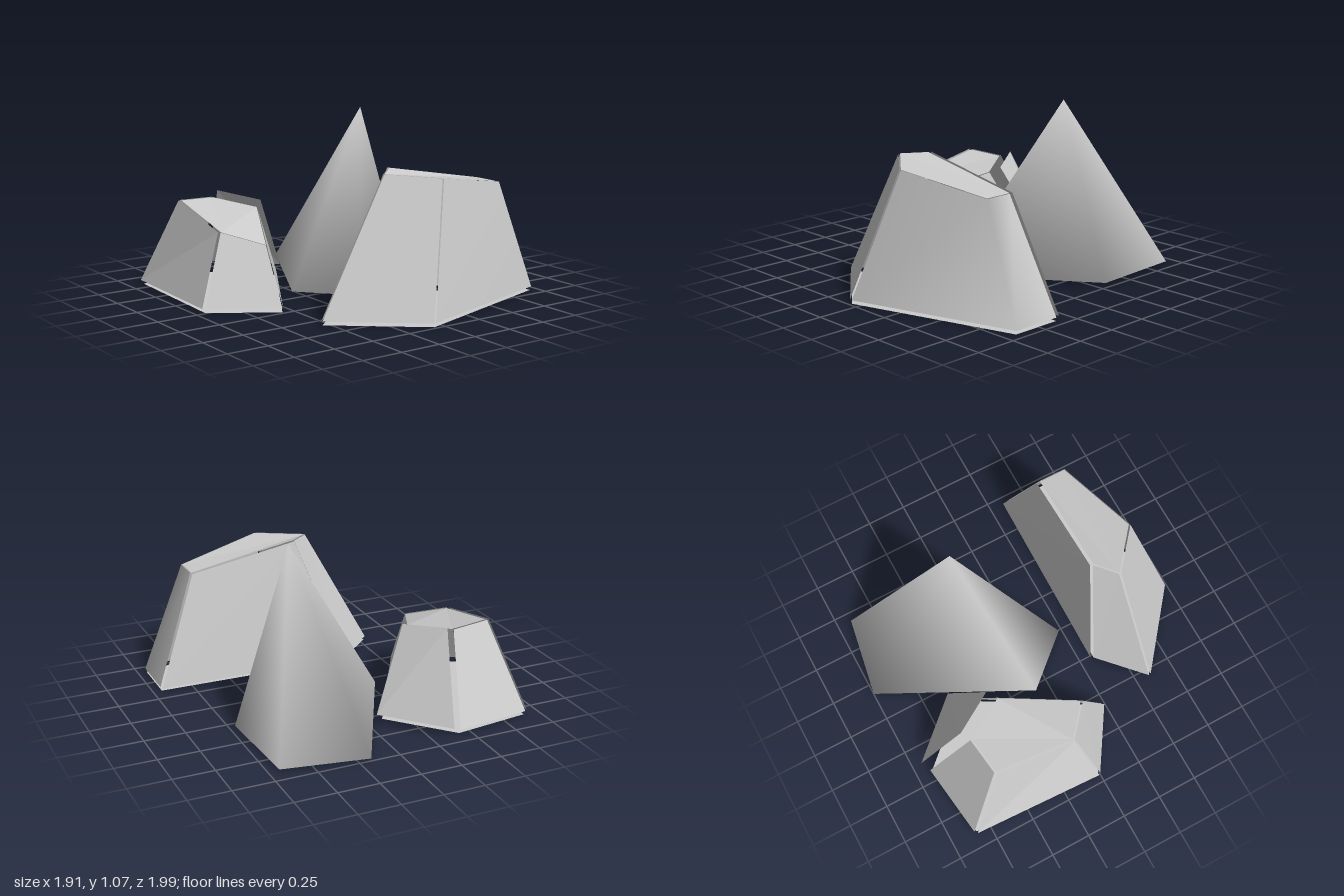
import * as THREE from 'three';

const grey = () => new THREE.MeshStandardMaterial({ color: 0xcccccc, side: THREE.DoubleSide });

// Fan-triangulates polygons over shared corners, turning each one outward and
// pushing it along its own normal. Shared corners give smooth normals.
function facets(name, corners, polygons, push = 0, smooth = false) {
  const pts = corners.map((c) => new THREE.Vector3(...c));
  const centre = pts.reduce((s, p) => s.add(p), new THREE.Vector3()).divideScalar(pts.length);
  const index = [];
  const shift = new THREE.Vector3();
  for (const poly of polygons) {
    const n = new THREE.Vector3();
    poly.forEach((a, i) => n.add(pts[a].clone().cross(pts[poly[(i + 1) % poly.length]])));
    const out = pts[poly[0]].clone().sub(centre).dot(n) > 0;
    const loop = out ? poly : [...poly].reverse();
    shift.addScaledVector(n.normalize(), out ? push : -push);
    for (let i = 1; i < loop.length - 1; i++) index.push(loop[0], loop[i], loop[i + 1]);
  }
  let geo = new THREE.BufferGeometry();
  geo.setAttribute('position', new THREE.Float32BufferAttribute(corners.flat(), 3));
  geo.setIndex(index);
  geo.translate(shift.x, shift.y, shift.z);
  if (!smooth) geo = geo.toNonIndexed();
  geo.computeVertexNormals();
  const mesh = new THREE.Mesh(geo, grey());
  mesh.name = name;
  return mesh;
}

// A rock of loose flat panels: [name, polygons, push, smooth]
function panelRock(name, corners, panels) {
  const rock = new THREE.Group();
  rock.name = name;
  for (const [part, polys, push, smooth] of panels) rock.add(facets(part, corners, polys, push, smooth));
  return rock;
}

export function createModel() {
  const model = new THREE.Group();
  model.name = 'rocks';

  // Small rock: five ground corners, then five roof corners
  model.add(panelRock('smallRock', [
    [-0.94, 0.02, -0.01], [-0.57, 0.02, 0.23], [-0.11, 0.02, -0.55], [-0.43, 0.02, -0.9], [-0.9, 0.02, -0.84],
    [-0.77, 0.43, -0.11], [-0.57, 0.36, 0.06], [-0.35, 0.49, -0.39], [-0.51, 0.53, -0.64], [-0.75, 0.54, -0.61],
  ], [
    ['base', [[0, 1, 2, 3, 4]], 0.02],
    ['roof', [[5, 6, 7, 8, 9]], 0.005],
    ['frontPanel', [[0, 1, 6, 5]], 0.015],
    ['leftPanel', [[1, 2, 7, 6]], 0.005],
    ['loosePanel', [[2, 3, 8, 7]], 0.08],
    ['backPanel', [[3, 4, 9, 8]], 0.015],
    ['rightPanel', [[4, 0, 5, 9]], 0.02],
  ]));

  // Long rock in front, with a smooth bend between its front and end panels
  model.add(panelRock('longRock', [
    [-0.54, 0.02, 0.59], [-0.06, 0.02, 0.98], [0.945, 0.02, 0.67], [0.945, 0.02, 0.36], [-0.27, 0.02, 0.34],
    [-0.1, 0.8, 0.57], [0.15, 0.78, 0.78], [0.69, 0.69, 0.64], [0.69, 0.69, 0.47], [0.02, 0.81, 0.46],
  ], [
    ['base', [[0, 1, 2, 3, 4]], 0.02],
    ['roof', [[5, 6, 7, 8, 9]], 0.004],
    ['frontRightPanel', [[0, 1, 6, 5]], 0.01],
    ['frontAndEndPanels', [[1, 2, 7, 6], [2, 3, 8, 7]], 0.005, true],
    ['backPanel', [[3, 4, 9, 8]], 0.022],
    ['backRightPanel', [[4, 0, 5, 9]], 0.008],
  ]));

  // Tall pointed rock: a smooth five-sided pyramid
  model.add(facets('pointedRock', [
    [0.18, 0.015, -1], [0.69, 0.015, -0.91], [0.72, 0.015, -0.31], [-0.01, 0.015, 0.23], [-0.29, 0.015, -0.09],
    [0.37, 1.07, -0.3],
  ], [[0, 1, 2, 3, 4], ...[0, 1, 2, 3, 4].map((i) => [i, (i + 1) % 5, 5])], 0, true));

  return model;
}
